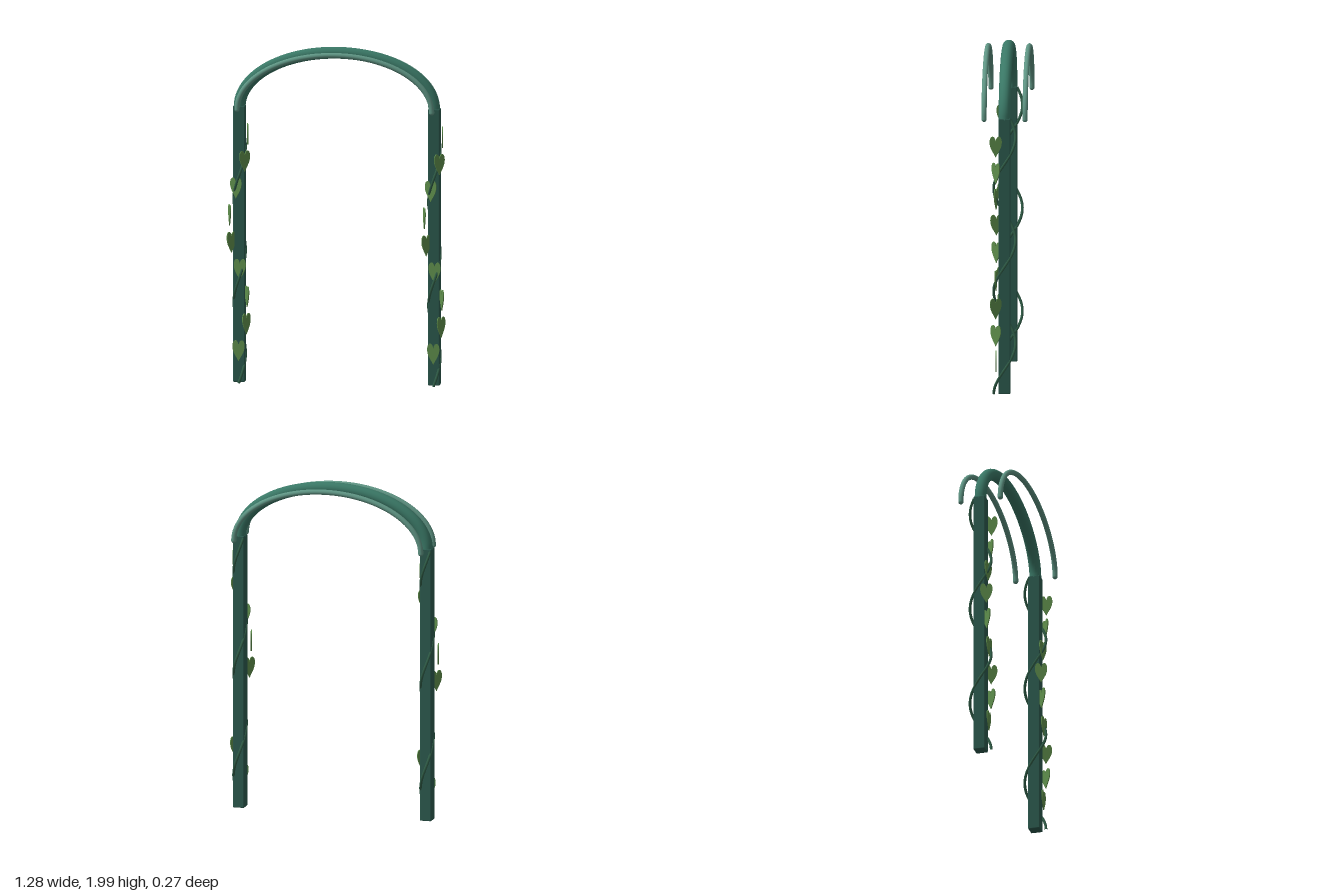
import * as THREE from 'three';
import { RoundedBoxGeometry } from 'three/addons/geometries/RoundedBoxGeometry.js';

const HALF_SPAN = 0.574;
const SPRING = 1.637; // height where the arches begin
const RISE = 0.328;

const paint = (color) => new THREE.MeshStandardMaterial({ color });
const postMat = paint(0x2c5a4e);
const archMat = paint(0x3a7866);
const railMat = paint(0x5f9584);
const vineMat = paint(0x2f5c46);
const leafMat = paint(0x5f8f4c);
leafMat.side = THREE.DoubleSide;

function add(parent, name, geometry, material, x = 0, y = 0, z = 0) {
  const mesh = new THREE.Mesh(geometry, material);
  mesh.name = name;
  mesh.position.set(x, y, z);
  parent.add(mesh);
  return mesh;
}

// Curve through points sampled from a function of t in 0..1
function sampled(fn, n) {
  const points = [];
  for (let i = 0; i <= n; i++) points.push(fn(i / n));
  return new THREE.CatmullRomCurve3(points);
}

// Half-ellipse tube with rounded ends
function arch(parent, name, radius, z, material) {
  const group = new THREE.Group();
  group.name = name;
  group.position.z = z;
  parent.add(group);
  const path = sampled((t) => {
    const a = Math.PI * (1 - t);
    return new THREE.Vector3(HALF_SPAN * Math.cos(a), SPRING + RISE * Math.sin(a), 0);
  }, 32);
  add(group, name + 'Tube', new THREE.TubeGeometry(path, 72, radius, 16), material);
  for (const s of [-1, 1]) {
    add(group, name + 'End', new THREE.SphereGeometry(radius, 16, 10), material, s * HALF_SPAN, SPRING, 0);
  }
}

// Heart-shaped leaf, tip down, centred on its origin
function leafGeometry() {
  const s = new THREE.Shape();
  s.moveTo(0, -0.062);
  s.bezierCurveTo(0.012, -0.035, 0.036, -0.01, 0.036, 0.028);
  s.bezierCurveTo(0.036, 0.07, 0.006, 0.074, 0, 0.034);
  s.bezierCurveTo(-0.006, 0.074, -0.036, 0.07, -0.036, 0.028);
  s.bezierCurveTo(-0.036, -0.01, -0.012, -0.035, 0, -0.062);
  const g = new THREE.ExtrudeGeometry(s, { depth: 0.006, bevelEnabled: false, curveSegments: 10 });
  g.translate(0, 0, -0.003);
  return g;
}

export function createModel() {
  const model = new THREE.Group();
  model.name = 'gardenArch';

  // Main arch and the two slim rails beside it
  arch(model, 'mainArch', 0.035, 0, archMat);
  arch(model, 'frontRail', 0.0155, 0.12, railMat);
  arch(model, 'backRail', 0.0155, -0.12, railMat);

  const postGeo = new RoundedBoxGeometry(0.069, 1.63, 0.07, 2, 0.005);
  const leafGeo = leafGeometry();

  // Vine winding up the post
  const vinePath = sampled((t) => {
    const y = 0.012 + 1.62 * t;
    const a = (2 * Math.PI * (y - 0.005)) / 0.61;
    return new THREE.Vector3(0.034 * Math.sin(a), y, 0.064 * Math.cos(a));
  }, 48);
  const vineGeo = new THREE.TubeGeometry(vinePath, 110, 0.008, 8);

  for (const side of [-1, 1]) {
    const leg = new THREE.Group();
    leg.name = side < 0 ? 'rightLeg' : 'leftLeg';
    leg.position.x = side * HALF_SPAN;
    model.add(leg);
    add(leg, 'post', postGeo, postMat, 0, 0.83, 0);
    add(leg, 'vine', vineGeo, vineMat);
    // Leaves turn by one radian per step up the post
    for (let i = 0; i < 9; i++) {
      const leaf = add(leg, 'leaf', leafGeo, leafMat, 0.055 * Math.sin(i), 0.202 + 0.16 * i, 0.05);
      leaf.rotation.y = i;
    }
  }
  return model;
}
